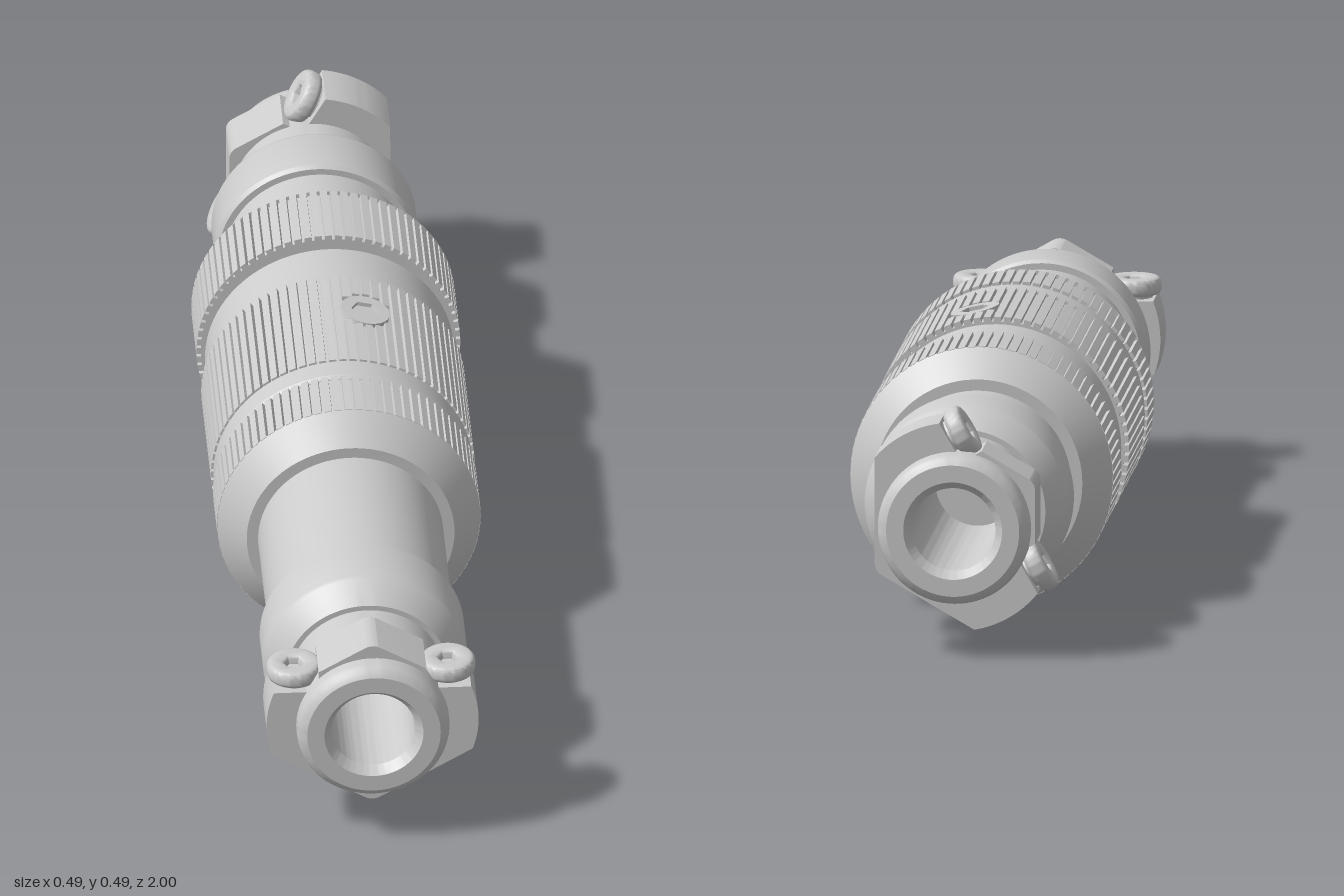
import * as THREE from 'three';
import { toCreasedNormals, mergeGeometries } from 'three/addons/utils/BufferGeometryUtils.js';

const AXIS_Y = 0.245;
const material = new THREE.MeshStandardMaterial({ color: 0xcccccc });

function add(parent, name, geometry) {
  const mesh = new THREE.Mesh(geometry, material);
  mesh.name = name;
  parent.add(mesh);
  return mesh;
}

// Revolve [radius, z] pairs, listed with rising z, around the z axis
function turned(profile, segments = 96) {
  const g = new THREE.LatheGeometry(profile.map(([r, z]) => new THREE.Vector2(r, z)), segments);
  return toCreasedNormals(g.rotateX(Math.PI / 2), 0.5);
}

// Straight knurl: a ring of teeth; an optional round hole shortens the teeth it crosses
function knurl(z0, z1, hole) {
  const count = 80, outer = 0.245, inner = 0.23, teeth = [];
  for (let i = 0; i < count; i++) {
    const a = (i / count) * Math.PI * 2;
    let spans = [[z0, z1]];
    if (hole) {
      const off = Math.atan2(Math.sin(a - hole.angle), Math.cos(a - hole.angle)) * outer;
      if (Math.abs(off) < hole.radius) {
        const half = Math.sqrt(hole.radius ** 2 - off ** 2);
        spans = [[z0, hole.z - half], [hole.z + half, z1]];
      }
    }
    for (const [s, e] of spans) {
      const g = new THREE.BoxGeometry(0.0135, outer - inner, e - s);
      g.translate(0, (outer + inner) / 2, (s + e) / 2).rotateZ(-a);
      teeth.push(g);
    }
  }
  return mergeGeometries(teeth);
}

// Screw head with a hexagonal socket, standing on y = 0
function socketHead(radius, height, bevel, hex) {
  const shape = new THREE.Shape().absarc(0, 0, radius, 0, Math.PI * 2);
  const hole = new THREE.Path();
  for (let i = 0; i <= 6; i++) {
    const a = -(i % 6) * Math.PI / 3;
    hole[i ? 'lineTo' : 'moveTo'](hex * Math.cos(a), hex * Math.sin(a));
  }
  shape.holes.push(hole);
  const g = new THREE.ExtrudeGeometry(shape, {
    depth: height - 2 * bevel, bevelEnabled: bevel > 0, bevelThickness: bevel,
    bevelSize: bevel, bevelOffset: -bevel, bevelSegments: 4, curveSegments: 24,
  });
  g.translate(0, 0, bevel).rotateX(-Math.PI / 2);
  return toCreasedNormals(g, 0.6);
}

// Side lug of the clamp: bored upright block, curved outside, sloping underneath
function lugGeometry() {
  const inX = 0.1, outX = 0.197, w = 0.05, top = 0.072;
  const shape = new THREE.Shape();
  shape.moveTo(inX, -w).lineTo(outX, -w).lineTo(outX, w).lineTo(inX, w).closePath();
  shape.holes.push(new THREE.Path().absarc(0.143, 0, 0.036, 0, Math.PI * 2, true));
  const g = new THREE.ExtrudeGeometry(shape, { depth: 1, steps: 12, bevelEnabled: false, curveSegments: 20 });
  g.rotateX(-Math.PI / 2);
  const p = g.attributes.position;
  for (let i = 0; i < p.count; i++) {
    const x = p.getX(i);
    const bottom = -0.173 + 0.577 * Math.min(x, 0.187);
    const y = THREE.MathUtils.lerp(bottom, top, p.getY(i));
    p.setY(i, y);
    if (x > 0.19) p.setX(i, Math.sqrt(outX * outX - y * y));
  }
  g.deleteAttribute('normal');
  g.computeVertexNormals();
  return toCreasedNormals(g, 0.5);
}

// Cable clamp with two screws, centred on z = 0
function cableClamp(name) {
  const clamp = new THREE.Group();
  clamp.name = name;

  // Middle block with peaked top and bottom, rounded at the peaks
  const s = new THREE.Shape();
  s.moveTo(-0.1, -0.115).lineTo(-0.015, -0.164).quadraticCurveTo(0, -0.173, 0.015, -0.164);
  s.lineTo(0.1, -0.115).lineTo(0.1, 0.115).lineTo(0.015, 0.164);
  s.quadraticCurveTo(0, 0.173, -0.015, 0.164).lineTo(-0.1, 0.115).closePath();
  // Opening for the barrel neck
  s.holes.push(new THREE.Path().absarc(0, 0, 0.09, 0, Math.PI * 2, true));
  const block = new THREE.ExtrudeGeometry(s, { depth: 0.1, bevelEnabled: false, curveSegments: 24 });
  add(clamp, 'clampBlock', toCreasedNormals(block.translate(0, 0, -0.05), 0.3));

  const lug = lugGeometry();
  for (const side of [1, -1]) {
    const half = new THREE.Group();
    half.name = side > 0 ? 'leftClampSide' : 'rightClampSide';
    half.rotation.y = side > 0 ? 0 : Math.PI;
    add(half, 'clampLug', lug);
    add(half, 'clampScrewHead', socketHead(0.051, 0.033, 0.011, 0.017)).position.set(0.143, 0.077, 0);
    add(half, 'clampScrewSocketFloor', new THREE.CylinderGeometry(0.03, 0.03, 0.006, 24)).position.set(0.143, 0.09, 0);
    add(half, 'clampScrewShank', new THREE.CylinderGeometry(0.034, 0.034, 0.09, 24)).position.set(0.143, 0.04, 0);
    clamp.add(half);
  }
  return clamp;
}

// Barrel from its inner end to the hollow nose, pointing along +z
function barrel(innerZ) {
  return turned([
    [0.172, innerZ], [0.172, 0.64], [0.184, 0.64], [0.19, 0.647], [0.19, 0.748],
    [0.187, 0.756], [0.152, 0.796], [0.142, 0.796], [0.142, 0.975], [0.14, 0.985],
    [0.135, 0.993], [0.124, 1], [0.092, 1], [0.078, 0.982], [0.078, 0.55], [0, 0.55],
  ]);
}

export function createModel() {
  const model = new THREE.Group();
  model.name = 'cableConnector';
  const body = new THREE.Group();
  body.name = 'connectorBody';
  body.position.y = AXIS_Y;
  model.add(body);

  // Barrels and cable clamps at both ends
  add(body, 'frontBarrel', barrel(0.2));
  add(body, 'rearBarrel', barrel(0.4)).rotation.y = Math.PI;
  const frontClamp = cableClamp('frontClamp');
  frontClamp.position.z = 0.909;
  const rearClamp = cableClamp('rearClamp');
  rearClamp.position.z = -0.909;
  rearClamp.rotation.z = Math.PI / 3;
  body.add(frontClamp, rearClamp);

  // Front knurled ring with conical shoulder
  add(body, 'frontRing', turned([
    [0.237, 0.155], [0.237, 0.27], [0.245, 0.27], [0.193, 0.323], [0.17, 0.323],
  ]));
  add(body, 'frontRingKnurl', knurl(0.155, 0.271));

  // Middle sleeve with the lock screw hole in its knurl
  const hole = { angle: 0.22, z: -0.075, radius: 0.052 };
  add(body, 'sleeve', turned([
    [0.17, -0.302], [0.225, -0.302], [0.231, -0.296], [0.231, -0.185], [0.236, -0.185],
    [0.236, 0.1], [0.241, 0.1], [0.241, 0.145], [0.238, 0.15], [0.238, 0.156], [0.17, 0.156],
  ]));
  add(body, 'sleeveKnurl', knurl(-0.185, 0.1, hole));

  // Lock screw
  const lock = new THREE.Group();
  lock.name = 'lockScrew';
  lock.position.z = hole.z;
  lock.rotation.z = -hole.angle;
  add(lock, 'lockScrewHead', socketHead(0.046, 0.015, 0, 0.027)).position.y = 0.229;
  add(lock, 'lockScrewSocketFloor', new THREE.CylinderGeometry(0.03, 0.03, 0.01, 24)).position.y = 0.2315;
  body.add(lock);

  // Groove and rear knurled ring with conical shoulder
  add(body, 'groove', turned([[0.215, -0.33], [0.215, -0.29]]));
  add(body, 'rearRing', turned([
    [0.17, -0.523], [0.193, -0.523], [0.245, -0.471], [0.237, -0.471], [0.237, -0.32], [0.2, -0.32],
  ]));
  add(body, 'rearRingKnurl', knurl(-0.472, -0.32));

  return model;
}
